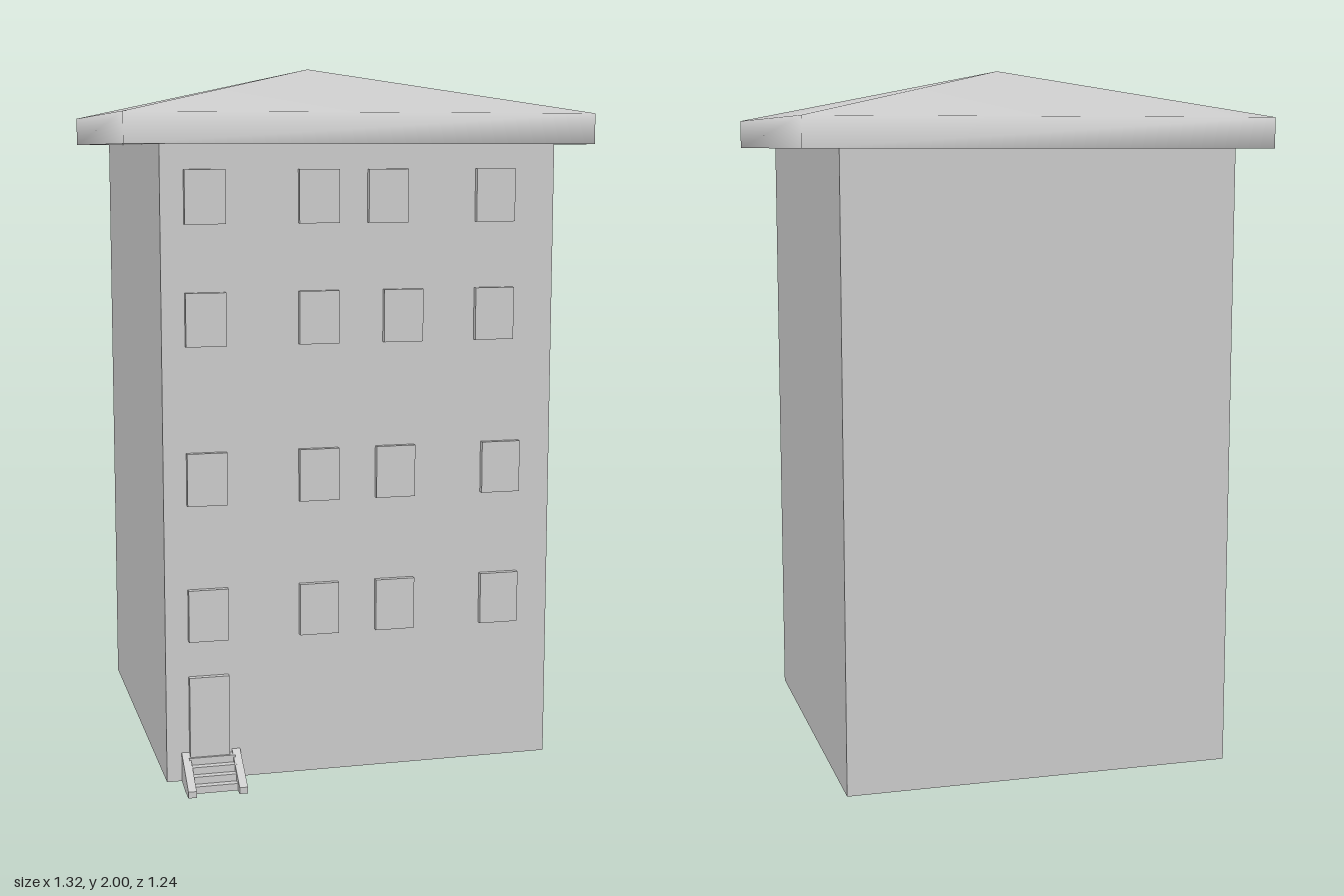
import * as THREE from 'three';

const material = new THREE.MeshStandardMaterial({ color: 0xcccccc });

function addMesh(parent, name, geometry) {
  const mesh = new THREE.Mesh(geometry, material);
  mesh.name = name;
  parent.add(mesh);
  return mesh;
}

// Box given by its lowest and highest corners
function addBox(parent, name, [x0, y0, z0], [x1, y1, z1]) {
  const mesh = addMesh(parent, name, new THREE.BoxGeometry(x1 - x0, y1 - y0, z1 - z0));
  mesh.position.set((x0 + x1) / 2, (y0 + y1) / 2, (z0 + z1) / 2);
  return mesh;
}

// Low pyramid roof with a fascia band; soft shading, but creased on one diagonal at the peak
function roofGeometry() {
  const corners = [[-0.66, 0.55], [0.66, 0.55], [0.66, -0.62], [-0.66, -0.62]];
  const levels = [1.775, 1.86, 1.775]; // fascia bottom, eave, soffit (own normals)
  const positions = [];
  for (const y of levels) for (const [x, z] of corners) positions.push(x, y, z);
  const peak = [-0.02, 2, -0.06];
  positions.push(...peak, ...peak);

  const index = [];
  for (let i = 0; i < 4; i++) {
    const j = (i + 1) % 4;
    index.push(i, j, 4 + j, i, 4 + j, 4 + i);
    // front and left slopes share one peak normal, right and back the other
    index.push(4 + i, 4 + j, i === 0 || i === 3 ? 12 : 13);
  }
  index.push(8, 10, 9, 8, 11, 10);

  const geometry = new THREE.BufferGeometry();
  geometry.setAttribute('position', new THREE.Float32BufferAttribute(positions, 3));
  geometry.setIndex(index);
  geometry.computeVertexNormals();
  return geometry;
}

export function createModel() {
  const house = new THREE.Group();
  house.name = 'apartmentBuilding';
  const wallZ = 0.51;

  addBox(house, 'walls', [-0.56, 0.01, -0.58], [0.555, 1.78, wallZ]);
  addMesh(house, 'roof', roofGeometry());

  // Window panels: row height and column centres
  const windows = new THREE.Group();
  windows.name = 'windows';
  house.add(windows);
  const rows = [
    [1.635, [-0.44, -0.125, 0.07, 0.38]],
    [1.305, [-0.44, -0.125, 0.115, 0.38]],
    [0.867, [-0.44, -0.125, 0.095, 0.405]],
    [0.485, [-0.44, -0.125, 0.095, 0.405]],
  ];
  for (const [y, columns] of rows) {
    for (const x of columns) {
      addBox(windows, 'window', [x - 0.056, y - 0.073, wallZ - 0.01], [x + 0.056, y + 0.073, wallZ + 0.017]);
    }
  }

  addBox(house, 'door', [-0.496, 0.08, wallZ - 0.01], [-0.384, 0.31, wallZ + 0.017]);

  // Entrance steps, lowest one furthest out
  const stairs = new THREE.Group();
  stairs.name = 'entranceStairs';
  house.add(stairs);
  for (let i = 0; i < 4; i++) {
    const top = 0.022 + i * 0.02;
    addBox(stairs, 'step', [-0.5, top - 0.02, wallZ - 0.005], [-0.37, top, 0.597 - i * 0.021]);
  }

  // Sloping side cheeks of the steps, drawn in (z, y)
  const cheek = new THREE.Shape([
    [0.505, 0.01], [0.565, 0], [0.62, 0], [0.62, 0.018], [0.51, 0.092], [0.505, 0.092],
  ].map(([z, y]) => new THREE.Vector2(z, y)));
  for (const x of [-0.518, -0.375]) {
    const geometry = new THREE.ExtrudeGeometry(cheek, { depth: 0.023, bevelEnabled: false });
    geometry.rotateY(-Math.PI / 2); // shape x becomes +z, depth runs to -x
    addMesh(stairs, 'stairCheek', geometry).position.x = x + 0.023;
  }

  return house;
}
